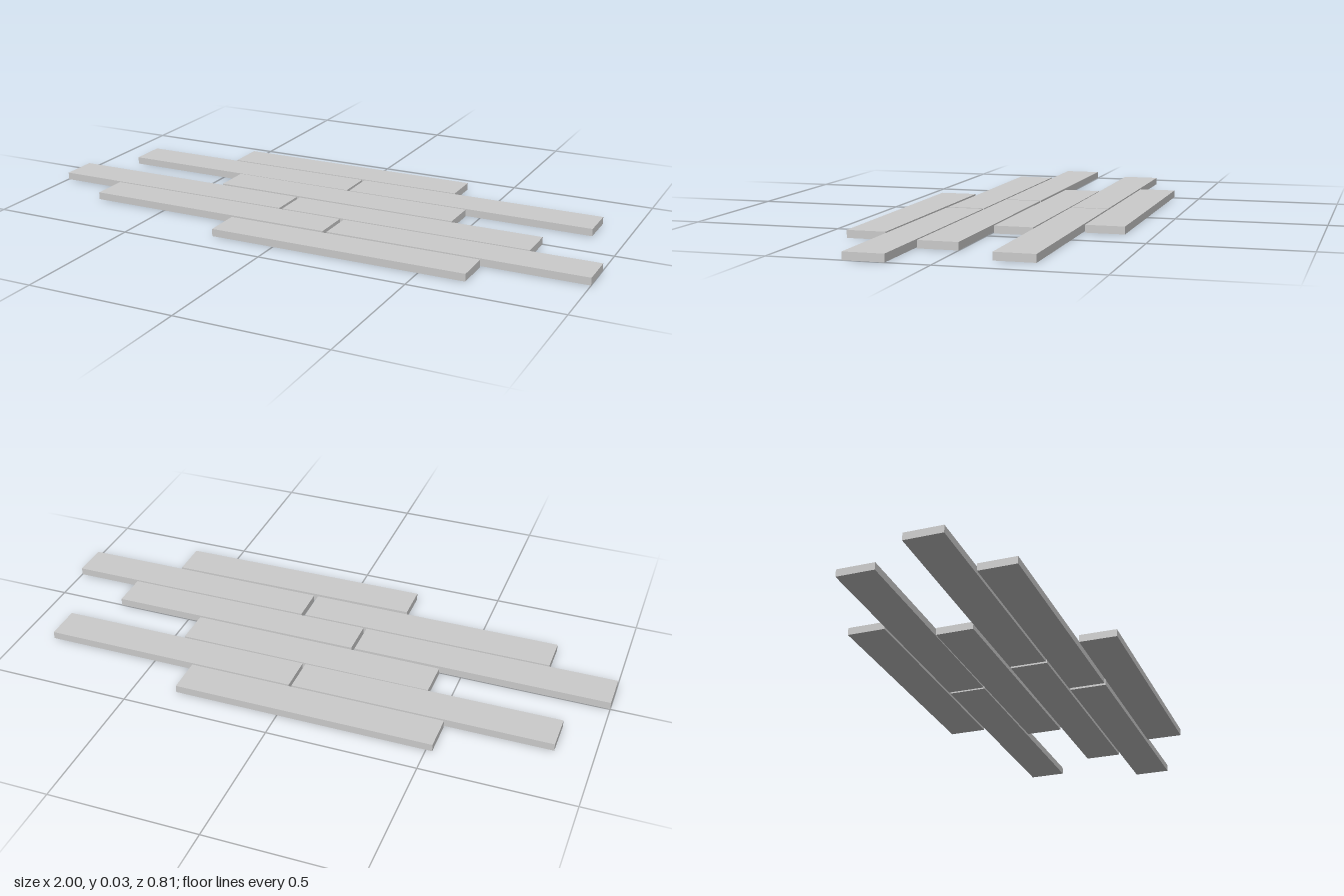
import * as THREE from 'three';

const LENGTH = 0.877, HEIGHT = 0.025, WIDTH = 0.128;

// Each plank: centre x, centre z, slight turn about the vertical
const PLANKS = [
  [0.215, 0.339, 0.0045],
  [-0.33, 0.2, 0], [0.5615, 0.2, 0],
  [-0.5615, 0.065, 0], [0.327, 0.065, 0],
  [0.012, -0.073, -0.0045],
  [-0.437, -0.206, 0], [0.45, -0.206, 0],
  [-0.082, -0.341, 0],
];

export function createModel() {
  const group = new THREE.Group();
  group.name = 'plankFloor';
  const material = new THREE.MeshStandardMaterial({ color: 0xcccccc });
  const geometry = new THREE.BoxGeometry(LENGTH, HEIGHT, WIDTH);

  // Loose planks laid in six staggered rows
  PLANKS.forEach(([x, z, turn], i) => {
    const plank = new THREE.Mesh(geometry, material);
    plank.name = `plank${i + 1}`;
    plank.position.set(x, HEIGHT / 2, z);
    plank.rotation.y = turn;
    group.add(plank);
  });
  return group;
}
